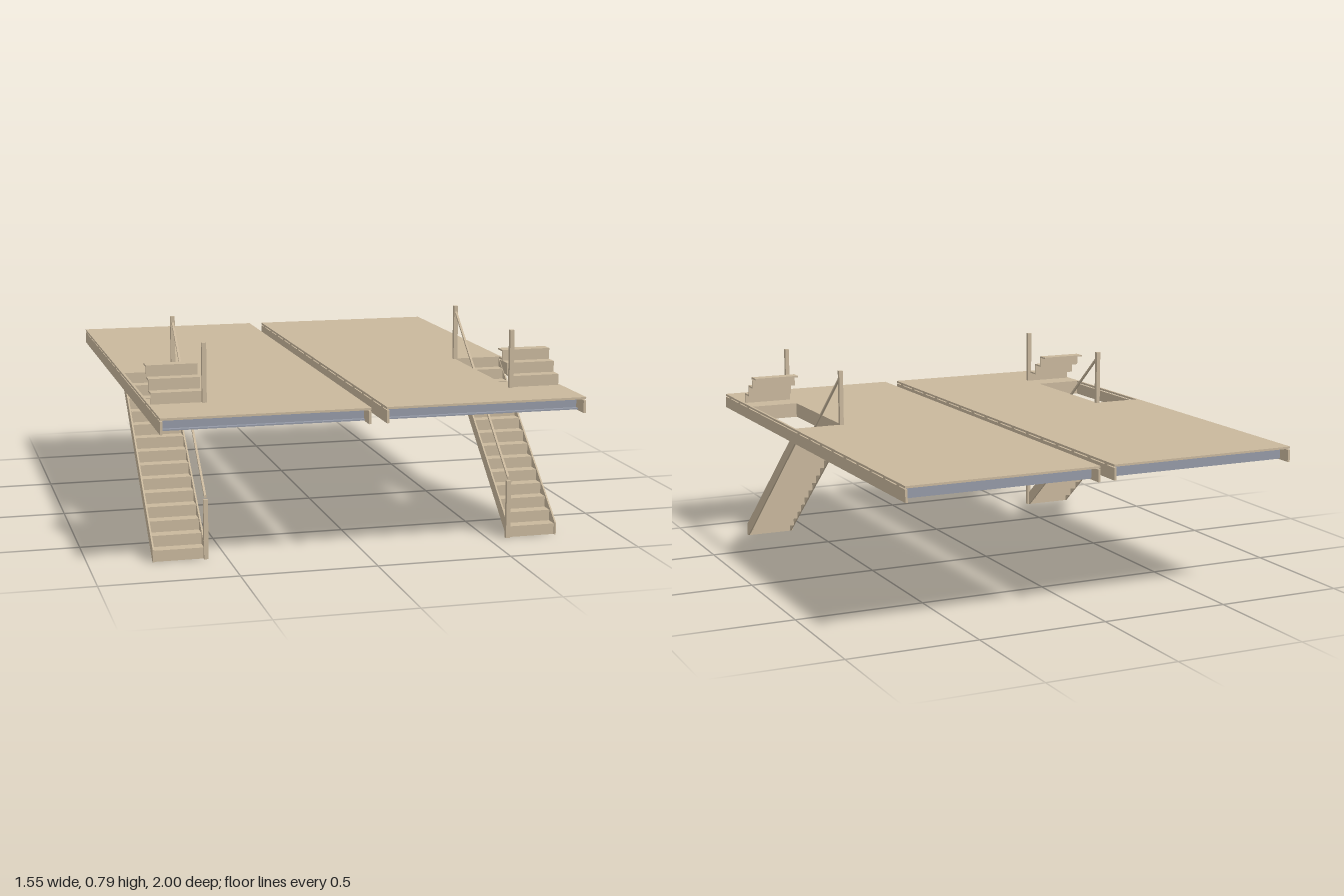
import * as THREE from 'three';

const tan = new THREE.MeshStandardMaterial({ color: 0xc8b79c });
tan.name = 'tan timber';
const grey = new THREE.MeshStandardMaterial({ color: 0x9499a6 });
grey.name = 'grey steel';

const TOP = 0.575, Z_FRONT = 0.755, Z_BACK = 0.12, HOLE_FRONT = 0.65;
const RISE = TOP / 14, RUN = (Z_FRONT - Z_BACK) / 13;

function add(group, name, geometry, material = tan) {
  const mesh = new THREE.Mesh(geometry, material);
  mesh.name = name;
  group.add(mesh);
  return mesh;
}

// Box given by its extents; s mirrors it to the other side
function box(group, name, s, [x0, x1], [y0, y1], [z0, z1], material) {
  const g = new THREE.BoxGeometry(x1 - x0, y1 - y0, z1 - z0);
  g.translate(s * (x0 + x1) / 2, (y0 + y1) / 2, (z0 + z1) / 2);
  return add(group, name, g, material);
}

const shapeOf = (pts) => new THREE.Shape(pts.map(([a, b]) => new THREE.Vector2(a, b)));

// Profile of (z, y) points extruded across x
function acrossX(group, name, s, [x0, x1], pts, material) {
  const g = new THREE.ExtrudeGeometry(shapeOf(pts), { depth: x1 - x0, bevelEnabled: false });
  g.translate(0, 0, -(x1 - x0) / 2);
  g.rotateY(-Math.PI / 2);
  g.translate(s * (x0 + x1) / 2, 0, 0);
  return add(group, name, g, material);
}

// Thin folded treads and risers
function steps(group, name, s, xs, y, count) {
  const t = 0.006, upper = [], lower = [];
  for (let i = 0; i < count; i++) {
    const z = Z_FRONT - i * RUN, top = y + (i + 1) * RISE;
    upper.push([z, top - RISE], [z, top]);
    lower.push([z - t, i ? top - RISE - t : y], [z - t, top - t]);
  }
  const zEnd = Z_FRONT - count * RUN, yEnd = y + count * RISE;
  upper.push([zEnd, yEnd]);
  lower.push([zEnd, yEnd - t]);
  acrossX(group, name, s, xs, [...upper, ...lower.reverse()]);
}

function createDeck(s) {
  const deck = new THREE.Group();
  deck.name = s > 0 ? 'leftDeck' : 'rightDeck';

  // Floor sheet with the stairwell cut out
  const floor = shapeOf([[0.028 * s, -1], [0.775 * s, -1], [0.775 * s, 1], [0.028 * s, 1]]);
  floor.holes.push(new THREE.Path([
    [0.575, -Z_BACK], [0.766, -Z_BACK], [0.766, -HOLE_FRONT], [0.575, -HOLE_FRONT],
  ].map(([x, y]) => new THREE.Vector2(x * s, y))));
  const g = new THREE.ExtrudeGeometry(floor, { depth: 0.008, bevelEnabled: false });
  g.rotateX(-Math.PI / 2);
  g.translate(0, TOP - 0.008, 0);
  add(deck, 'floor', g);

  // Edge beams and stairwell framing
  const beamY = [0.517, 0.563];
  box(deck, 'innerBeam', s, [0.028, 0.037], beamY, [-1, 1]);
  box(deck, 'outerBeam', s, [0.766, 0.775], beamY, [-1, 1]);
  box(deck, 'stairwellTrimmer', s, [0.566, 0.575], [0.517, 0.567], [Z_BACK, HOLE_FRONT]);
  box(deck, 'backCrossBeam', s, [0.037, 0.766], [0.517, 0.567], [Z_BACK - 0.009, Z_BACK]);
  box(deck, 'frontCrossBeam', s, [0.037, 0.766], [0.517, 0.567], [HOLE_FRONT, HOLE_FRONT + 0.009]);

  // Steel channel joists with a batten above each
  for (let i = 0; i < 16; i++) {
    const z = -0.9375 + i * 0.125;
    const inWell = z > Z_BACK && z < HOLE_FRONT;
    const end = inWell ? 0.566 : 0.766;
    const a = z - 0.011, b = z + 0.011, t = 0.005;
    acrossX(deck, 'joist', s, [0.037, end], [
      [a, 0.52], [b, 0.52], [b, 0.52 + t], [a + t, 0.52 + t],
      [a + t, 0.563 - t], [b, 0.563 - t], [b, 0.563], [a, 0.563],
    ], grey);
    box(deck, 'batten', s, [0.028, inWell ? 0.575 : 0.775], [0.563, 0.567], [a, b]);
  }
  return deck;
}

function createStair(s) {
  const stair = new THREE.Group();
  stair.name = s > 0 ? 'leftStair' : 'rightStair';

  steps(stair, 'lowerFlight', s, [0.582, 0.764], 0, 13);
  steps(stair, 'upperFlight', s, [0.58, 0.766], TOP, 3);

  // Sloping stringers on both sides
  for (const x of [0.576, 0.764]) {
    acrossX(stair, 'stringer', s, [x, x + 0.006], [
      [0.762, 0], [0.762, 0.047], [Z_BACK, 0.567], [Z_BACK, 0.517], [0.75, 0],
    ]);
  }

  // Posts and sloping handrail
  const px = [0.568, 0.584];
  box(stair, 'bottomPost', s, px, [0, 0.22], [0.752, 0.768]);
  box(stair, 'upperPost', s, px, [TOP, 0.79], [0.752, 0.768]);
  box(stair, 'topPost', s, px, [0.517, 0.79], [0.112, 0.128]);
  acrossX(stair, 'handrail', s, [0.572, 0.58], [
    [0.757, 0.225], [0.757, 0.235], [0.125, 0.77], [0.125, 0.76],
  ]);
  return stair;
}

export function createModel() {
  const model = new THREE.Group();
  model.name = 'twinDecksWithStairs';
  for (const s of [1, -1]) model.add(createDeck(s), createStair(s));
  return model;
}
